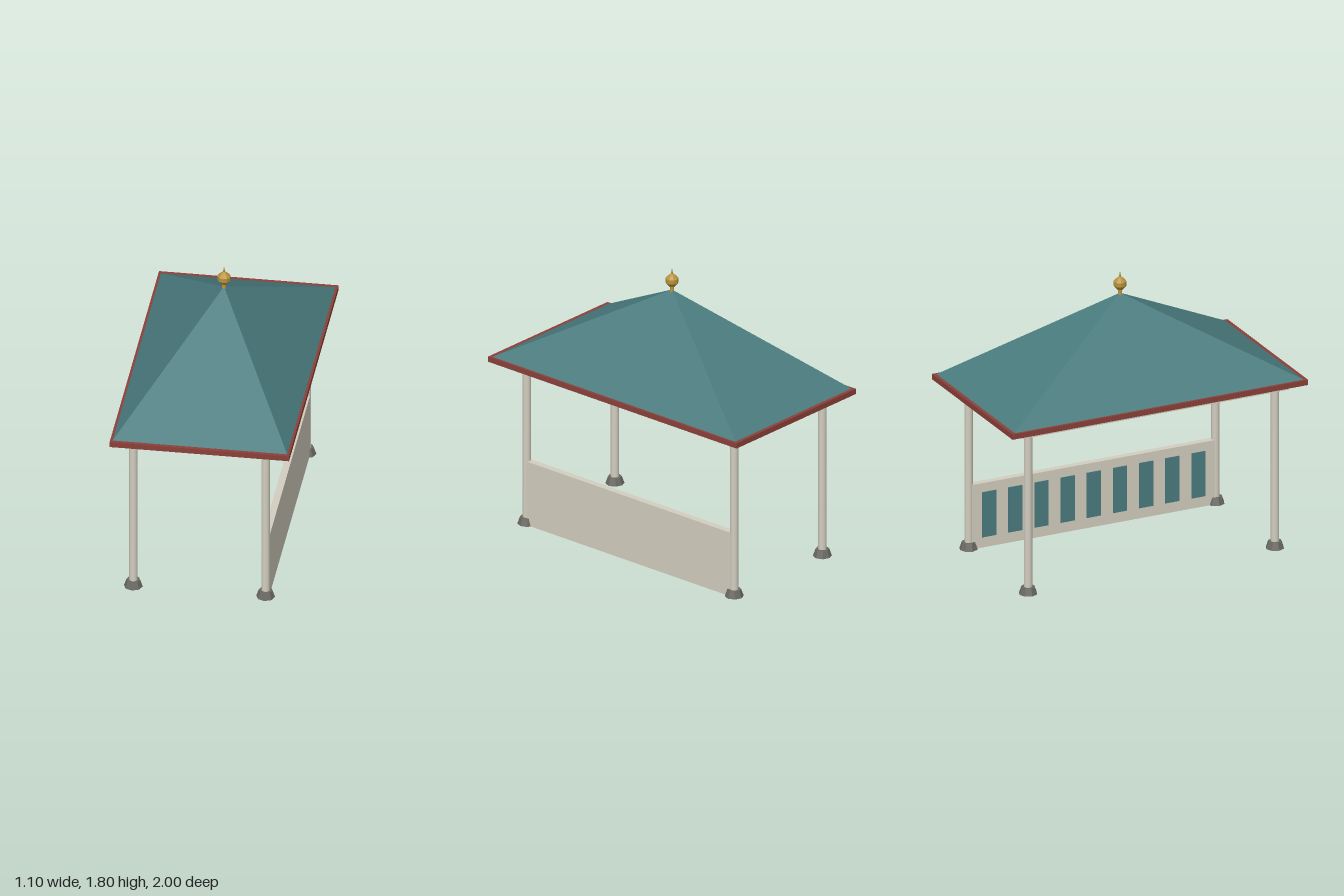
import * as THREE from 'three';

const mat = (name, color, flatShading = false) => {
  const m = new THREE.MeshStandardMaterial({ color, flatShading });
  m.name = name;
  return m;
};

export function createModel() {
  const group = new THREE.Group();
  const cream = mat('cream paint', 0xd2cdbf);
  const teal = mat('teal roofing', 0x4a7b7e, true);
  const red = mat('red trim', 0x8b4039);
  const stone = mat('grey stone', 0x6a6963, true);
  const gold = mat('gold', 0xb8923c, true);

  const add = (name, geometry, material, x, y, z) => {
    const mesh = new THREE.Mesh(geometry, material);
    mesh.name = name;
    mesh.position.set(x, y, z);
    group.add(mesh);
    return mesh;
  };
  // Box given by its lower and upper corners
  const box = (name, material, [x0, y0, z0], [x1, y1, z1]) =>
    add(name, new THREE.BoxGeometry(x1 - x0, y1 - y0, z1 - z0), material,
      (x0 + x1) / 2, (y0 + y1) / 2, (z0 + z1) / 2);

  // Four posts on tapered stone feet
  const postGeo = new THREE.CylinderGeometry(0.0255, 0.0255, 1.03, 16);
  const footGeo = new THREE.CylinderGeometry(0.042, 0.058, 0.046, 8);
  for (const x of [-0.429, 0.382]) {
    for (const z of [-0.835, 0.835]) {
      add('post', postGeo, cream, x, 0.535, z);
      add('postFoot', footGeo, stone, x, 0.023, z);
    }
  }

  // Low wall along one long side, with inset-coloured panels on its inner face
  box('lowWall', cream, [0.36, 0, -0.825], [0.403, 0.42, 0.825]);
  for (let i = -4; i <= 4; i++) {
    const z = i * 0.177;
    box('wallPanel', teal, [0.354, 0.068, z - 0.047], [0.361, 0.362, z + 0.047]);
  }

  // Ceiling slab and eaves
  box('ceiling', cream, [-0.492, 1.043, -0.9], [0.448, 1.076, 0.9]);
  box('eaves', red, [-0.55, 1.076, -1], [0.55, 1.11, 1]);

  // Hipped roof rising to a point: a four-sided cone squared to the plan
  const roofGeo = new THREE.ConeGeometry(Math.SQRT2, 0.55, 4);
  roofGeo.rotateY(Math.PI / 4);
  roofGeo.scale(0.535, 1, 0.977);
  add('roof', roofGeo, teal, 0, 1.385, 0);

  // Finial: collar, faceted ball and spike
  const profile = [
    [0.014, 1.64], [0.011, 1.682], [0.02, 1.684], [0.04, 1.709],
    [0.04, 1.736], [0.018, 1.758], [0.006, 1.766], [0.004, 1.785], [0, 1.8],
  ].map(([r, y]) => new THREE.Vector2(r, y));
  add('finial', new THREE.LatheGeometry(profile, 10), gold, 0, 0, 0);

  return group;
}
